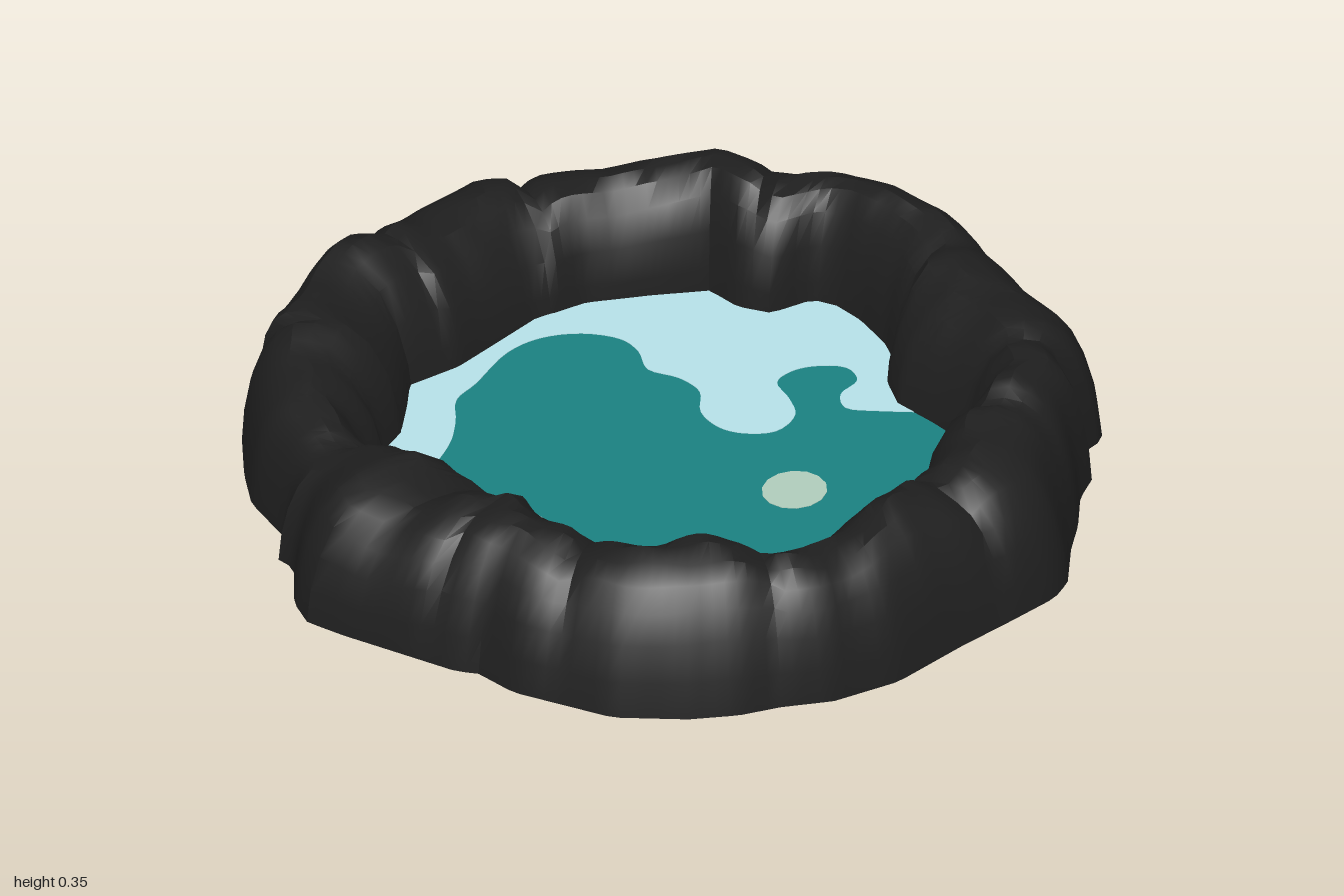
import * as THREE from 'three';
import { toCreasedNormals } from 'three/addons/utils/BufferGeometryUtils.js';

// Plan outlines as x,z pairs in hundredths
const OUTER = [-5,-99, 14,-98, 27,-94, 35,-90, 49,-83, 66,-75, 73,-66, 72,-57, 80,-51, 82,-43, 88,-33, 92,-24,
  99,-12, 100,-5, 97,8, 93,24, 89,44, 81,59, 72,68, 66,76, 57,84, 42,93, 17,97, 6,95, 1,97, -29,99, -39,99,
  -46,94, -54,82, -59,81, -62,73, -77,65, -85,56, -95,42, -96,27, -99,14, -100,-5, -98,-29, -94,-48, -89,-55,
  -89,-62, -80,-71, -67,-81, -50,-91, -34,-93, -24,-97];
const INNER = [-13,-74, -7,-75, 1,-73, 11,-68, 18,-62, 20,-55, 27,-49, 38,-47, 49,-44, 57,-37, 57,-25, 55,-17,
  58,-10, 59,6, 57,16, 58,27, 57,40, 54,46, 38,50, 33,58, 17,60, 3,59, -4,54, -16,49, -26,50, -34,49, -40,54,
  -48,54, -56,47, -57,38, -61,35, -62,24, -67,14, -71,7, -66,-5, -64,-18, -62,-32, -56,-44, -45,-55, -35,-64,
  -26,-62, -18,-64, -15,-70];
const SHALLOWS = [34,-50, 30,-47, 25,-44, 18,-41, 14,-45, 14,-52, 9,-55, 2,-51, -1,-46, -1,-41, 5,-37, 10,-32,
  10,-24, 4,-19, -2,-18, -9,-21, -14,-28, -21,-30, -29,-29, -35,-34, -41,-36, -50,-33, -57,-26, -60,-17, -59,-2,
  -59,6, -54,14, -50,23, -49,35, -55,37, -64,37, -72,24, -80,8, -72,-24, -66,-45, -45,-67, -24,-77, -10,-83,
  9,-77, 27,-59];
const STREAK = [-51,35, -40,36, -26,37, -15,36, -17,42, -22,47, -31,44, -45,42, -49,41];

const points = flat => Array.from({ length: flat.length / 2 },
  (_, i) => new THREE.Vector2(flat[2 * i] / 100, flat[2 * i + 1] / 100));

// Distance from the centre to an outline along an angle
function radiusAt(poly, a) {
  const c = Math.cos(a), s = Math.sin(a);
  let best = 0;
  poly.forEach((p, i) => {
    const q = poly[(i + 1) % poly.length];
    const p1 = p.y * c - p.x * s, q1 = q.y * c - q.x * s;
    if (p1 * q1 > 0 || p1 === q1) return;
    const k = p1 / (p1 - q1);
    const r = (p.x + (q.x - p.x) * k) * c + (p.y + (q.y - p.y) * k) * s;
    best = Math.max(best, r);
  });
  return best;
}

// Boulders: the angle where each starts, and how steep its outer face is
const SEAMS = [5, 43, 74, 95, 128, 159, 185, 212, 251, 287, 320, 339];
const STEEP = [0.95, 0.9, 0.95, 1.15, 1.2, 1.8, 1.3, 0.8, 1, 1, 1.05, 1];
// Crest height in hundredths at angles around the rim
const CREST = [[0, 31.5], [5, 30], [18, 33], [32, 29.5], [43, 32], [50, 34.5], [62, 33.5], [74, 31.5], [84, 33],
  [95, 34], [104, 29], [115, 33], [126, 27], [140, 28.5], [150, 30], [158, 34], [164, 31], [170, 30], [178, 33],
  [186, 32], [193, 28.5], [205, 27.5], [225, 27.5], [235, 30.5], [243, 33.5], [250, 33.5], [253, 29.5],
  [270, 32], [287, 32], [305, 32.5], [320, 34.5], [334, 34.5], [345, 33], [360, 31.5]];
// Rim cross-section: 0 outside to 1 inside, and share of the height
const SECTION = [[0, 0], [0.03, 0.26], [0.09, 0.52], [0.17, 0.73], [0.27, 0.88], [0.39, 0.97], [0.53, 1],
  [0.67, 0.96], [0.81, 0.81], [0.92, 0.55], [0.98, 0.25], [1, 0]];

function crestAt(deg) {
  const k = CREST.findIndex(([d]) => d > deg);
  const [d0, h0] = CREST[k - 1], [d1, h1] = CREST[k];
  return THREE.MathUtils.mapLinear(deg, d0, d1, h0, h1) / 100;
}

function rockRim() {
  const N = 200, M = SECTION.length, pos = [], index = [];
  const outer = points(OUTER), inner = points(INNER);
  for (let i = 0; i < N; i++) {
    const a = (i / N) * Math.PI * 2, deg = (i / N) * 360;
    let rock = SEAMS.length - 1, gap = 360;
    SEAMS.forEach((s, k) => {
      if (deg >= s) rock = k;
      const d = Math.abs(deg - s);
      gap = Math.min(gap, d, 360 - d);
    });
    const crack = Math.exp(-((gap / 2.2) ** 2));
    const ro = radiusAt(outer, a), ri = radiusAt(inner, a), crest = crestAt(deg);
    SECTION.forEach(([t, h], j) => {
      const free = Math.sin(Math.PI * t);
      // Chipped surface, slanted differently on each boulder
      const chip = Math.sin(a * 13 + t * 9 + rock * 2.1) * 0.5 + Math.sin(a * 29 - t * 13 + rock) * 0.3;
      const tt = Math.min(1, t ** STEEP[rock] + free * chip * 0.03 + crack * 0.03 * h * (1 - t));
      const r = ro + (ri - ro) * tt;
      const y = h * crest * (1 - 0.06 * crack * free) + h * free * chip * 0.012;
      pos.push(r * Math.cos(a), y, r * Math.sin(a));
      const n = (i + 1) % N, k = (j + 1) % M;
      const A = i * M + j, B = i * M + k, C = n * M + j, D = n * M + k;
      index.push(A, B, C, B, D, C);
    });
  }
  const g = new THREE.BufferGeometry();
  g.setAttribute('position', new THREE.Float32BufferAttribute(pos, 3));
  g.setIndex(index);
  return toCreasedNormals(g, 0.55);
}

// Flat horizontal plate from a plan outline, centred on height y
function plate(outline, y, depth) {
  const g = new THREE.ExtrudeGeometry(new THREE.Shape(outline), { depth, bevelEnabled: false });
  return g.rotateX(Math.PI / 2).translate(0, y + depth / 2, 0);
}

function smooth(flat) {
  const pts = points(flat);
  const curve = new THREE.CatmullRomCurve3(pts.map(p => new THREE.Vector3(p.x, p.y, 0)), true);
  return curve.getPoints(pts.length * 4).slice(0, -1).map(p => new THREE.Vector2(p.x, p.y));
}

export function createModel() {
  const material = (name, color) => {
    const m = new THREE.MeshStandardMaterial({ color });
    m.name = name;
    return m;
  };
  const rock = material('dark rock', 0x1f1f1f);
  const water = material('teal water', 0x1a8080);
  const pale = material('pale water', 0xb6e1e8);
  const sand = material('sandy green', 0xafccbb);

  const model = new THREE.Group();
  model.name = 'rockPool';
  const add = (name, geometry, mat) => {
    const mesh = new THREE.Mesh(geometry, mat);
    mesh.name = name;
    model.add(mesh);
  };

  add('rockRim', rockRim(), rock);

  // Water sheet, its edge tucked inside the rocks
  const outer = points(OUTER), inner = points(INNER);
  const shore = Array.from({ length: 96 }, (_, i) => {
    const a = (i / 96) * Math.PI * 2;
    const r = radiusAt(inner, a) * 0.65 + radiusAt(outer, a) * 0.35;
    return new THREE.Vector2(r * Math.cos(a), r * Math.sin(a));
  });
  const level = 0.024;
  add('water', plate(shore, level, 0.003), water);

  // Painted patches, showing on both faces of the sheet
  add('shallows', plate(smooth(SHALLOWS), level, 0.006), pale);
  add('streak', plate(smooth(STREAK), level, 0.006), pale);
  const spot = Array.from({ length: 14 }, (_, i) => {
    const a = (i / 14) * Math.PI * 2;
    return new THREE.Vector2(0.27 + 0.075 * Math.cos(a), -0.06 + 0.08 * Math.sin(a));
  });
  add('spot', plate(spot, level, 0.006), sand);

  return model;
}
